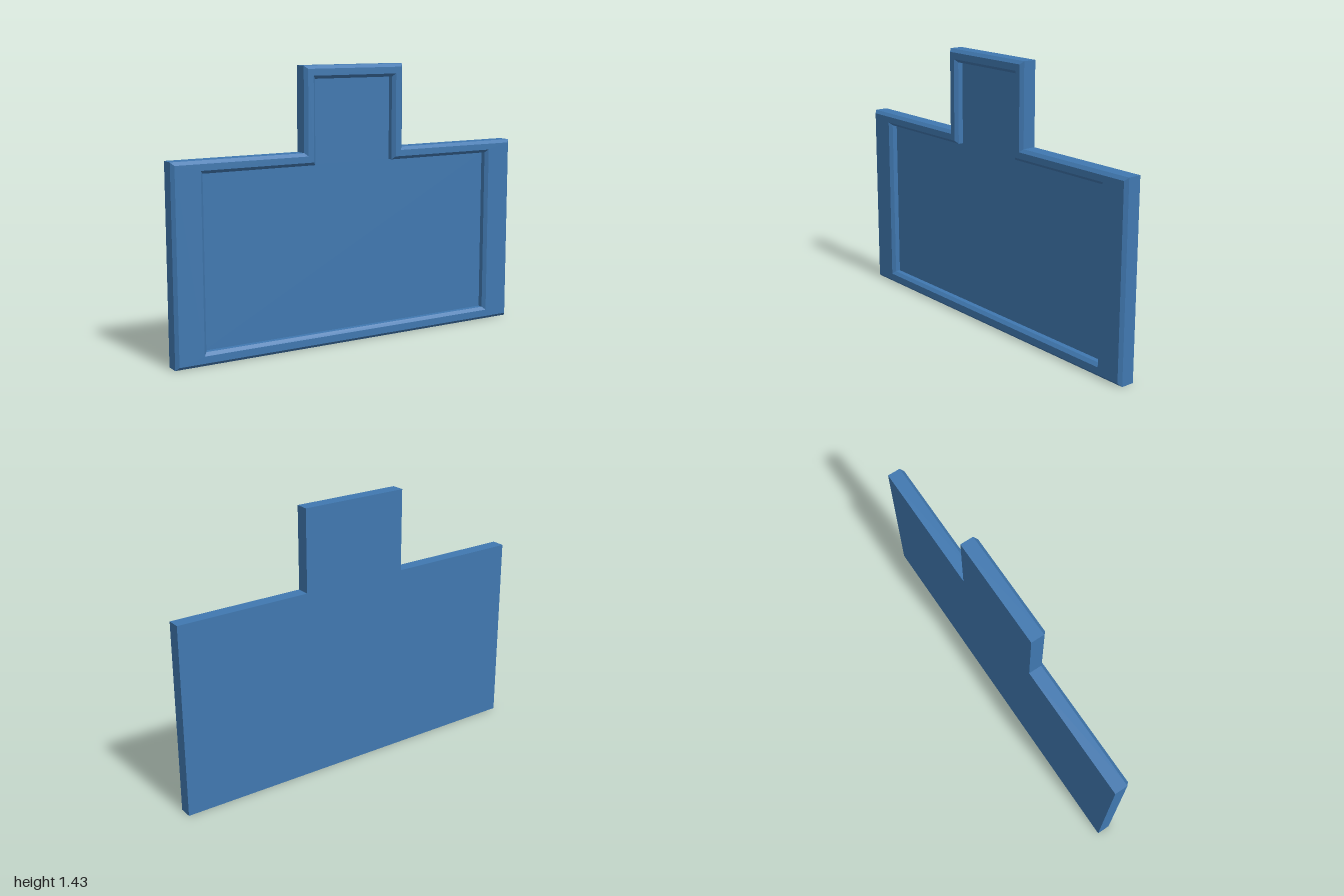
import * as THREE from 'three';

// T-shaped outline, counter-clockwise from the front:
// half width, bottom, shoulder height, tab half width, tab top
function outline(w, bottom, shoulder, tab, top) {
  return [[-w, bottom], [w, bottom], [w, shoulder], [tab, shoulder],
    [tab, top], [-tab, top], [-tab, shoulder], [-w, shoulder]];
}

// Joins matching outlines at successive depths with flat-sided bands
function loft(rings) {
  const pos = [];
  for (let r = 0; r < rings.length - 1; r++) {
    const [a, za] = rings[r], [b, zb] = rings[r + 1];
    for (let i = 0; i < a.length; i++) {
      const j = (i + 1) % a.length;
      const p = [...a[i], za], q = [...a[j], za], s = [...b[j], zb], t = [...b[i], zb];
      pos.push(...p, ...q, ...s, ...p, ...s, ...t);
    }
  }
  const geo = new THREE.BufferGeometry();
  geo.setAttribute('position', new THREE.Float32BufferAttribute(pos, 3));
  geo.computeVertexNormals();
  return geo;
}

function face(points, z) {
  const shape = new THREE.Shape(points.map(([x, y]) => new THREE.Vector2(x, y)));
  return new THREE.ShapeGeometry(shape).translate(0, 0, z);
}

export function createModel() {
  const group = new THREE.Group();
  group.name = 'recessedPanel';
  const blue = new THREE.MeshStandardMaterial({ color: 0x4078b0 });
  blue.name = 'steel blue';
  const add = (name, geo) => {
    const mesh = new THREE.Mesh(geo, blue);
    mesh.name = name;
    group.add(mesh);
    return mesh;
  };

  const half = 0.043, c = 0.016, floorZ = 0; // half thickness, chamfer, recess floor
  const outer = outline(1, 0, 1, 0.29, 1.43);
  const rim = outline(1 - c, c, 1 - c, 0.29 - c, 1.43 - c);
  const opening = outline(0.853, 0.052, 0.952, 0.243, 1.38);
  const floor = outline(0.853 - c, 0.052 + c, 0.952 - c, 0.243 - c, 1.38 - c);

  // Outer walls, chamfer and flat front border
  add('frame', loft([[outer, -half], [outer, half - c], [rim, half], [opening, half]]));
  // Chamfered inner edge and recess walls
  add('recessWalls', loft([[opening, half], [floor, half - c], [floor, floorZ]]));
  add('recessFloor', face(floor, floorZ));
  // Flat back, turned to face away
  add('back', face(outer, half)).rotation.y = Math.PI;
  return group;
}
